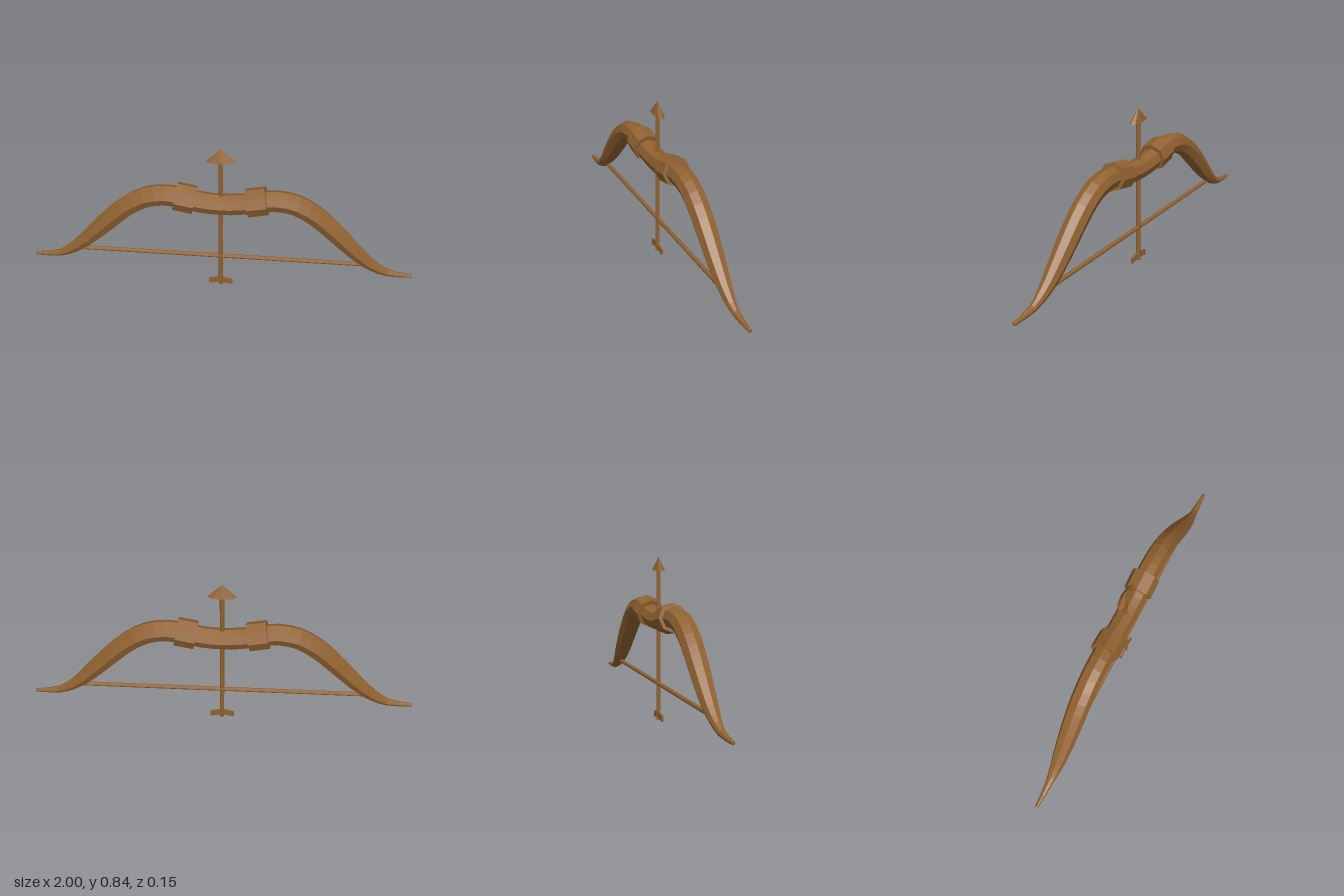
import * as THREE from 'three';

const SIDES = 8;

// Octagonal tube along a path in the xy plane; each station is a point with its radius in z
function sweepTaper(stations) {
  const verts = [], index = [];
  stations.forEach((s, i) => {
    const a = stations[Math.max(i - 1, 0)], b = stations[Math.min(i + 1, stations.length - 1)];
    const t = new THREE.Vector2(b.x - a.x, b.y - a.y).normalize();
    for (let j = 0; j < SIDES; j++) {
      const ang = (j / SIDES) * Math.PI * 2, n = Math.cos(ang) * s.z;
      verts.push(s.x - t.y * n, s.y + t.x * n, Math.sin(ang) * s.z);
    }
  });
  for (let i = 0; i < stations.length - 1; i++) {
    for (let j = 0; j < SIDES; j++) {
      const k = (j + 1) % SIDES, p = i * SIDES, q = p + SIDES;
      index.push(p + j, p + k, q + k, p + j, q + k, q + j);
    }
  }
  // End caps
  const last = (stations.length - 1) * SIDES;
  for (let j = 1; j < SIDES - 1; j++) {
    index.push(0, j + 1, j, last, last + j, last + j + 1);
  }
  const geo = new THREE.BufferGeometry();
  geo.setAttribute('position', new THREE.Float32BufferAttribute(verts, 3));
  geo.setIndex(index);
  geo.computeVertexNormals();
  return geo;
}

export function createModel() {
  const group = new THREE.Group();
  const wood = new THREE.MeshStandardMaterial({ color: 0x916231, flatShading: true });
  wood.name = 'wood';

  const add = (name, geometry, x = 0, y = 0, z = 0) => {
    const mesh = new THREE.Mesh(geometry, wood);
    mesh.name = name;
    mesh.position.set(x, y, z);
    group.add(mesh);
    return mesh;
  };

  // Recurved bow: half profile as x, y, radius, mirrored about the grip
  const half = [
    [0, 0.523, 0.055], [0.1, 0.53, 0.055], [0.19, 0.55, 0.055], [0.28, 0.561, 0.055],
    [0.38, 0.543, 0.055], [0.48, 0.483, 0.055], [0.57, 0.4, 0.053], [0.65, 0.318, 0.048],
    [0.72, 0.248, 0.041], [0.79, 0.19, 0.031], [0.87, 0.147, 0.019], [1, 0.134, 0.009],
  ].map(p => new THREE.Vector3(...p));
  const mirrored = half.slice(1).reverse().map(p => new THREE.Vector3(-p.x, p.y, p.z));
  const path = new THREE.CatmullRomCurve3([...mirrored, ...half]);
  add('bow', sweepTaper(path.getPoints(44)));

  // Collars either side of the grip, tilted with the curve
  for (const side of [-1, 1]) {
    const collar = add('gripCollar', new THREE.CylinderGeometry(0.074, 0.074, 0.102, SIDES), side * 0.182, 0.55);
    collar.rotation.z = Math.PI / 2 + side * 0.19;
  }

  // Bowstring
  add('bowstring', new THREE.CylinderGeometry(0.011, 0.011, 1.47, SIDES), 0, 0.193).rotation.z = Math.PI / 2;

  // Arrow shaft and flattened head
  add('arrowShaft', new THREE.CylinderGeometry(0.0115, 0.0115, 0.78, SIDES), 0, 0.393);
  add('arrowHead', new THREE.ConeGeometry(0.074, 0.07, SIDES), 0, 0.81).scale.z = 0.33;

  // Swept-back fletching
  const vane = new THREE.Shape([
    [0, 0.018], [0.063, 0.004], [0.063, 0.036], [0, 0.05], [-0.063, 0.036], [-0.063, 0.004],
  ].map(p => new THREE.Vector2(...p)));
  add('fletching', new THREE.ExtrudeGeometry(vane, { depth: 0.01, bevelEnabled: false }), 0, 0, -0.005);

  return group;
}
